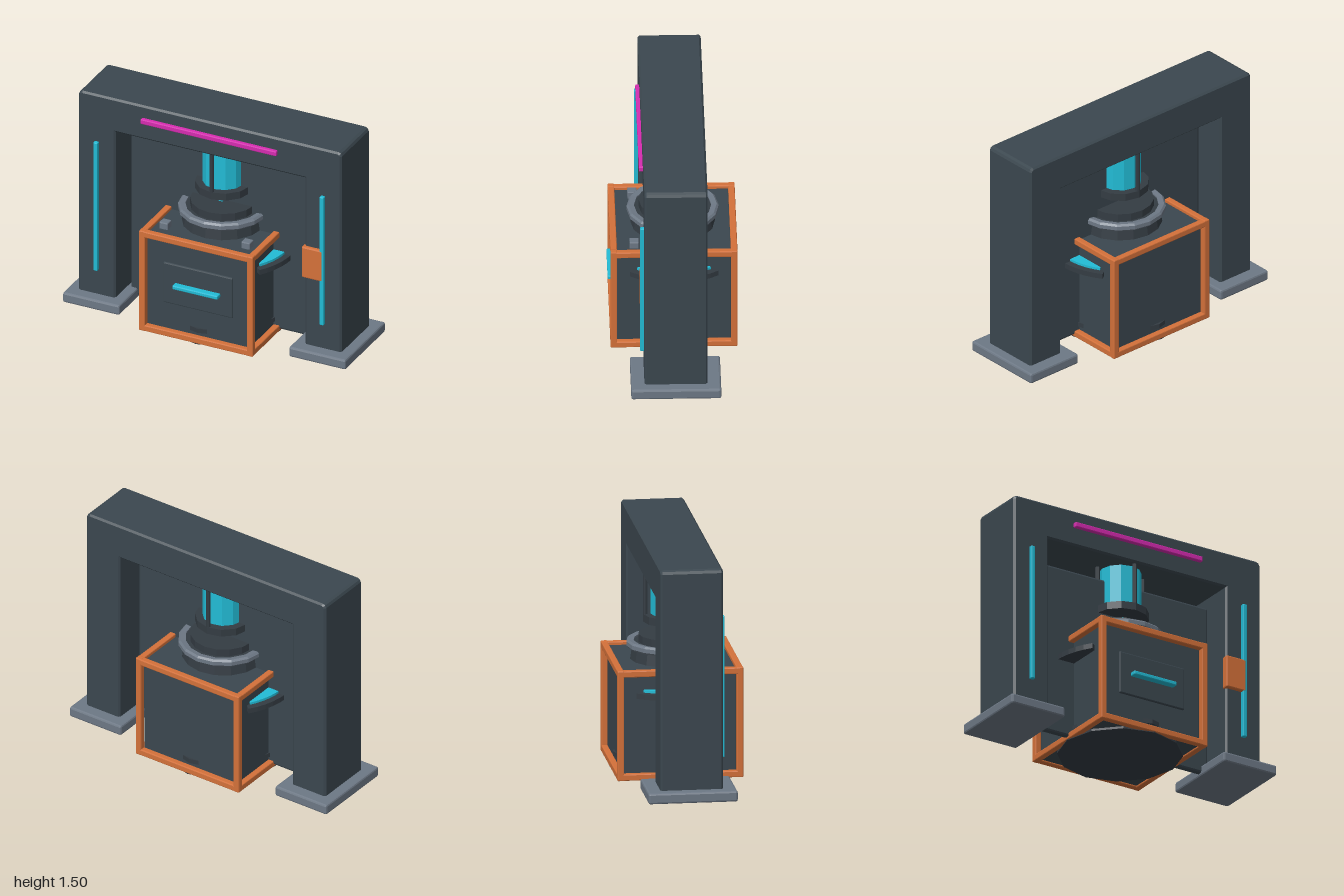
import * as THREE from 'three';
import { RoundedBoxGeometry } from 'three/addons/geometries/RoundedBoxGeometry.js';

const mat = (name, color, flat = true) => {
  const m = new THREE.MeshStandardMaterial({ color, flatShading: flat });
  m.name = name;
  return m;
};

export function createModel() {
  const root = new THREE.Group();
  root.name = 'gantryPress';
  const shell = mat('slate shell', 0x3b474f);
  const dark = mat('dark metal', 0x343c43);
  const grey = mat('grey metal', 0x6d7885);
  const orange = mat('orange frame', 0xd4713a);
  const cyan = mat('cyan light', 0x22bcd6);
  const magenta = mat('magenta light', 0xd62bb0);
  const Z = -0.005;

  const add = (name, geo, m, x = 0, y = 0, z = 0, parent = root) => {
    const mesh = new THREE.Mesh(geo, m);
    mesh.name = name;
    mesh.position.set(x, y, z);
    parent.add(mesh);
    return mesh;
  };
  // Box given by its limits, with a small rounded edge
  const box = (name, m, [x0, x1], [y0, y1], [z0, z1], r = 0.006, parent = root) =>
    add(name, new RoundedBoxGeometry(x1 - x0, y1 - y0, z1 - z0, 1, r), m,
      (x0 + x1) / 2, (y0 + y1) / 2, (z0 + z1) / 2, parent);
  // Upright disc or prism from y0 to y1
  const disc = (name, m, r, y0, y1, sides = 16, x = 0, z = Z, rTop = r) =>
    add(name, new THREE.CylinderGeometry(rTop, r, y1 - y0, sides), m, x, (y0 + y1) / 2, z);

  // Gate: two pillars and a beam in one chamfered outline
  const c = 0.025;
  const outline = new THREE.Shape([
    [-0.93, 0.004], [-0.67, 0.004], [-0.67, 1.265], [0.67, 1.265], [0.67, 0.004], [0.93, 0.004],
    [0.93, 1.505 - c], [0.922, 1.497], [0.93 - c, 1.505],
    [-0.93 + c, 1.505], [-0.922, 1.497], [-0.93, 1.505 - c],
  ].map(([x, y]) => new THREE.Vector2(x, y)));
  const b = 0.012;
  add('gate', new THREE.ExtrudeGeometry(outline, {
    depth: 0.4 - 2 * b, bevelThickness: b, bevelSize: b, bevelOffset: -b, bevelSegments: 1,
  }), shell, 0, 0, Z - 0.2 + b);

  // Dividing panel inside the gate
  box('dividingPanel', shell, [-0.65, 0.65], [0.02, 1.18], [Z - 0.022, Z + 0.022], 0.015);

  for (const s of [-1, 1]) {
    box('foot', grey, [s * 0.8 - 0.2, s * 0.8 + 0.2], [0, 0.07], [Z - 0.285, Z + 0.285], 0.012);
    box('pillarLight', cyan, [s * 0.8 - 0.015, s * 0.8 + 0.015], [0.245, 1.17], [0.18, 0.22]);
  }
  box('beamLight', magenta, [-0.48, 0.48], [1.385, 1.42], [0.18, 0.22]);
  box('controlBox', orange, [0.66, 0.806], [0.56, 0.78], [0.17, 0.221], 0.008);

  // Press column with guide rods, flange and nozzle
  disc('pressColumn', cyan, 0.137, 0.98, 1.28, 12);
  for (let i = 0; i < 4; i++) {
    const a = i * Math.PI / 2;
    disc('guideRod', dark, 0.015, 0.96, 1.28, 8, 0.17 * Math.cos(a), Z + 0.17 * Math.sin(a));
  }
  disc('flange', dark, 0.185, 0.94, 0.99, 12);
  disc('nozzle', grey, 0.04, 0.85, 0.95, 8);
  for (const s of [-1, 1]) {
    box('nozzleLight', cyan, [-0.015, 0.015], [0.85, 0.945], [Z + s * 0.04 - 0.01, Z + s * 0.04 + 0.01], 0.003);
  }

  // Lid: stepped discs with a raised grey ring
  disc('lidBase', dark, 0.27, 0.69, 0.785, 16, 0, Z, 0.255);
  const ring = [[0.245, 0.78], [0.28, 0.775], [0.292, 0.787], [0.292, 0.813], [0.28, 0.825], [0.245, 0.82], [0.245, 0.78]];
  add('lidRing', new THREE.LatheGeometry(ring.map(([x, y]) => new THREE.Vector2(x, y)), 16), grey, 0, 0, Z);
  disc('lidFill', dark, 0.25, 0.78, 0.81);
  disc('lidCap', dark, 0.215, 0.81, 0.86);

  // Container body, door and handle
  box('containerBody', shell, [-0.362, 0.362], [0.015, 0.7], [Z - 0.362, Z + 0.362]);
  box('door', shell, [-0.245, 0.245], [0.23, 0.52], [0.34, 0.368], 0.008);
  box('doorHandle', cyan, [-0.16, 0.16], [0.363, 0.39], [0.36, 0.41]);
  disc('basePlate', dark, 0.4, 0, 0.03, 12);
  disc('baseRim', dark, 0.378, 0.07, 0.1, 12);
  for (const s of [-1, 1]) {
    box('lidClip', grey, [s * 0.29 - 0.03, s * 0.29 + 0.03], [0.69, 0.745], [0.215, 0.275]);
  }

  // Orange edge frame: four bars in each direction
  const frame = new THREE.Group();
  frame.name = 'edgeFrame';
  root.add(frame);
  const bar = (p) => [p - 0.021, p + 0.021];
  for (const s of [-1, 1]) {
    for (const t of [-1, 1]) {
      const y = t < 0 ? 0.026 : 0.7;
      const zs = Z + s * 0.381;
      box('crossBar', orange, [-0.4, 0.4], bar(y), bar(zs), 0.006, frame);
      box('sideBar', orange, bar(s * 0.381), bar(y), [Z - 0.4, Z + 0.4], 0.006, frame);
      box('cornerPost', orange, bar(t * 0.381), [0.004, 0.723], bar(zs), 0.006, frame);
    }
  }

  // Curved side shelves, each with a light strip on top
  const arc = (r0, r1, half, height) => {
    const s = new THREE.Shape();
    s.absarc(0, 0, r1, -half, half, false);
    s.absarc(0, 0, r0, half, -half, true);
    const g = new THREE.ExtrudeGeometry(s, { depth: height, bevelEnabled: false, curveSegments: 5 });
    return g.rotateX(-Math.PI / 2);
  };
  for (const turn of [0, Math.PI]) {
    add('sideShelf', arc(0.34, 0.482, 0.62, 0.035), dark, 0, 0.537, Z).rotation.y = turn;
    add('shelfLight', arc(0.36, 0.44, 0.56, 0.018), cyan, 0, 0.57, Z).rotation.y = turn;
  }
  return root;
}
